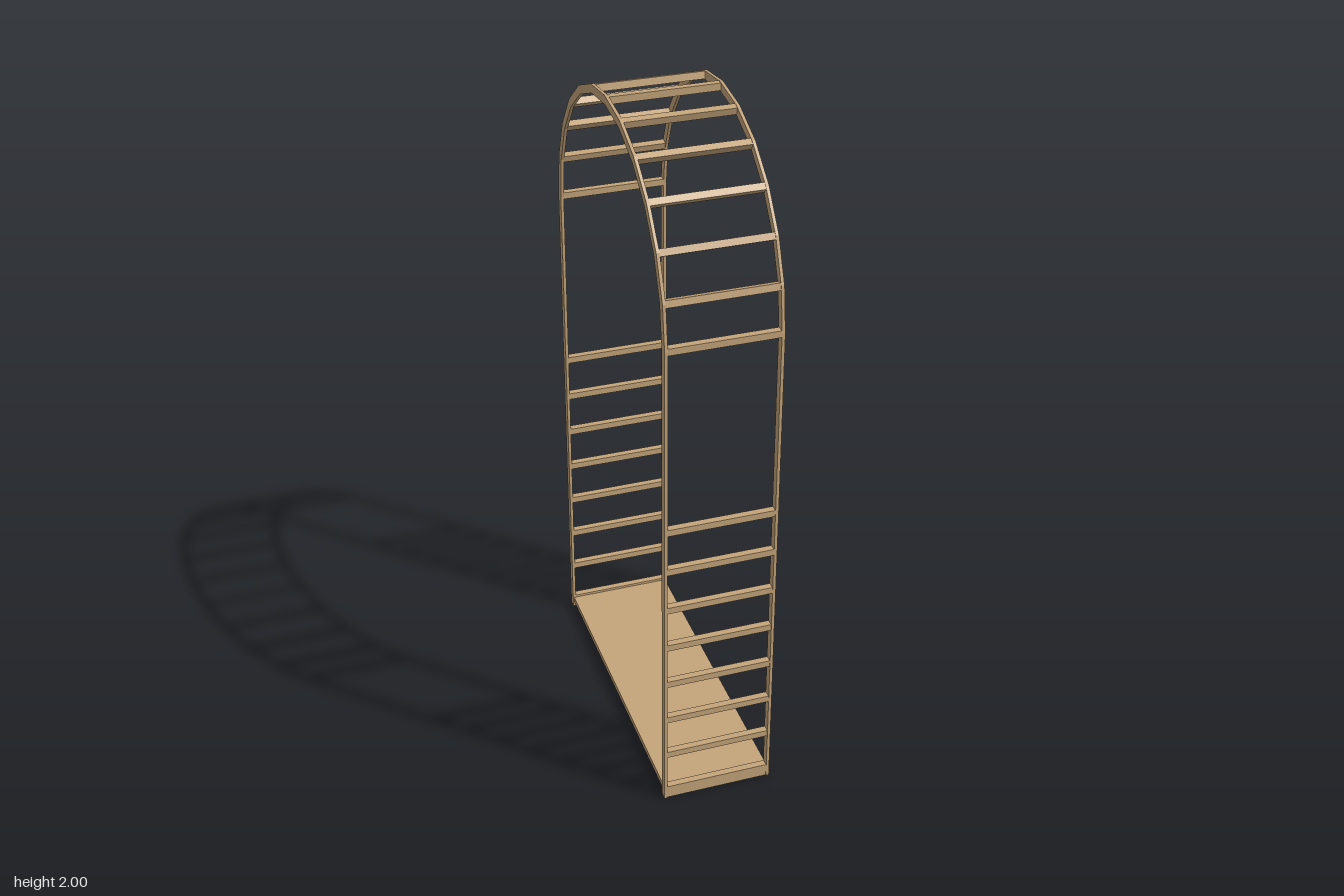
import * as THREE from 'three';

export function createModel() {
  const group = new THREE.Group();
  group.name = 'gardenArch';
  const wood = new THREE.MeshStandardMaterial({ color: 0xc4a47a, flatShading: true });

  const SPRING = 1.5, OUTER = 0.5, INNER = 0.475, MID = 0.4875, STEPS = 12;

  const addBox = (name, w, h, d, y, z, tilt = 0) => {
    const mesh = new THREE.Mesh(new THREE.BoxGeometry(w, h, d), wood);
    mesh.name = name;
    mesh.position.set(0, y, z);
    mesh.rotation.x = tilt;
    group.add(mesh);
  };

  // Two flat side frames: posts joined by a faceted half-round top
  const outline = new THREE.Shape();
  outline.moveTo(OUTER, 0);
  for (let i = 0; i <= STEPS; i++) {
    const a = (i / STEPS) * Math.PI;
    outline.lineTo(OUTER * Math.cos(a), SPRING + OUTER * Math.sin(a));
  }
  outline.lineTo(-OUTER, 0);
  outline.lineTo(-INNER, 0);
  for (let i = STEPS; i >= 0; i--) {
    const a = (i / STEPS) * Math.PI;
    outline.lineTo(INNER * Math.cos(a), SPRING + INNER * Math.sin(a));
  }
  outline.lineTo(INNER, 0);
  const frameGeometry = new THREE.ExtrudeGeometry(outline, { depth: 0.009, bevelEnabled: false });
  frameGeometry.translate(0, 0, -0.0045);
  frameGeometry.rotateY(Math.PI / 2);
  for (const side of [1, -1]) {
    const frame = new THREE.Mesh(frameGeometry, wood);
    frame.name = side > 0 ? 'leftFrame' : 'rightFrame';
    frame.position.x = side * 0.1585;
    group.add(frame);
  }

  // Slats across the arch, one at each bend
  for (let i = 0; i <= STEPS; i++) {
    const a = (i / STEPS) * Math.PI;
    addBox('archSlat', 0.318, 0.02, 0.021, SPRING + MID * Math.sin(a), MID * Math.cos(a), -a);
  }

  // Ladder slats and bottom boards between the posts
  for (const end of [1, -1]) {
    for (let i = 1; i <= 7; i++) {
      addBox('ladderSlat', 0.318, 0.02, 0.021, 0.033 + i * 0.13, end * MID);
    }
    addBox('bottomBoard', 0.318, 0.04, 0.021, 0.021, end * MID);
  }

  // Floor
  addBox('floor', 0.318, 0.018, 0.96, 0.024, 0);

  return group;
}
